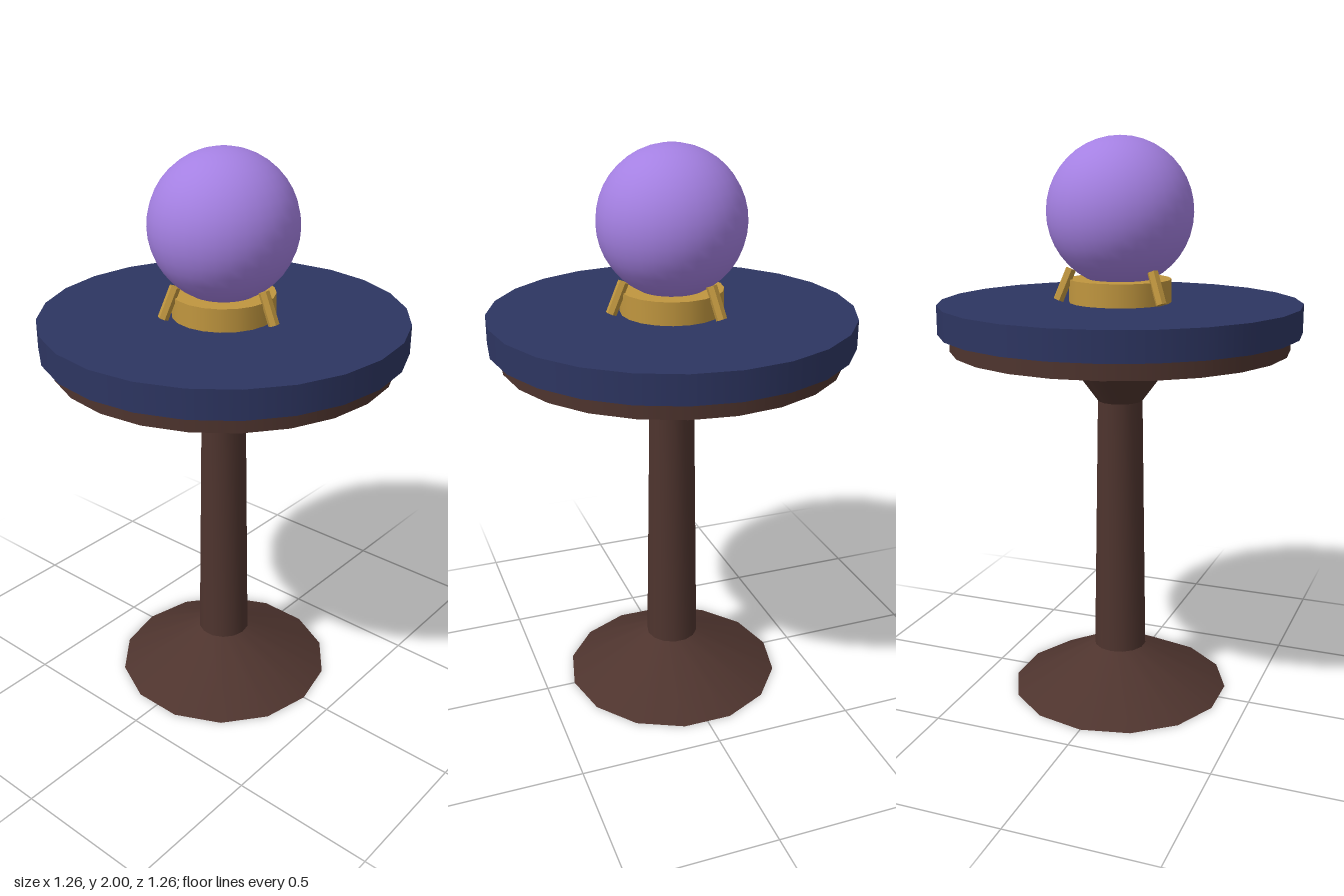
import * as THREE from 'three';
import { toCreasedNormals } from 'three/addons/utils/BufferGeometryUtils.js';

function paint(name, color) {
  const m = new THREE.MeshStandardMaterial({ color });
  m.name = name;
  return m;
}

export function createModel() {
  const wood = paint('dark wood', 0x4e342e);
  const cloth = paint('navy cloth', 0x2d3561);
  const gold = paint('gold', 0xc0963f);
  const crystal = paint('purple crystal', 0xa480e2);

  const model = new THREE.Group();
  model.name = 'crystalBallTable';

  function add(name, geometry, material, y = 0, parent = model) {
    const mesh = new THREE.Mesh(geometry, material);
    mesh.name = name;
    mesh.position.y = y;
    parent.add(mesh);
    return mesh;
  }

  // Turned pedestal: flared foot, tapering column, flared capital
  const profile = [
    [0, 0], [0.395, 0], [0.095, 0.16], [0.08, 1.09], [0.198, 1.25], [0, 1.27],
  ].map(([r, y]) => new THREE.Vector2(r, y));
  const turned = new THREE.LatheGeometry(profile, 14, Math.PI / 2);
  add('pedestal', toCreasedNormals(turned, 0.5), wood);

  // Table top and the cloth-covered slab resting on it
  add('tableTop', new THREE.CylinderGeometry(0.592, 0.592, 0.06, 24), wood, 1.31);
  add('clothCover', new THREE.CylinderGeometry(0.632, 0.632, 0.1, 24), cloth, 1.39);

  // Gold stand with three prongs leaning in towards the ball
  const stand = new THREE.Group();
  stand.name = 'ballStand';
  model.add(stand);
  add('standRing', new THREE.CylinderGeometry(0.178, 0.178, 0.08, 20), gold, 1.48, stand);
  const prongShape = toCreasedNormals(new THREE.CylinderGeometry(0.019, 0.019, 0.115, 6), 0.5);
  for (let i = 0; i < 3; i++) {
    const arm = new THREE.Group();
    arm.name = 'prongArm';
    arm.rotation.y = (i * Math.PI * 2) / 3;
    stand.add(arm);
    const prong = add('prong', prongShape, gold, 1.503, arm);
    prong.position.x = 0.193;
    prong.rotation.z = 0.4;
  }

  // Crystal ball
  add('crystalBall', new THREE.SphereGeometry(0.253, 32, 20), crystal, 1.747);

  return model;
}
